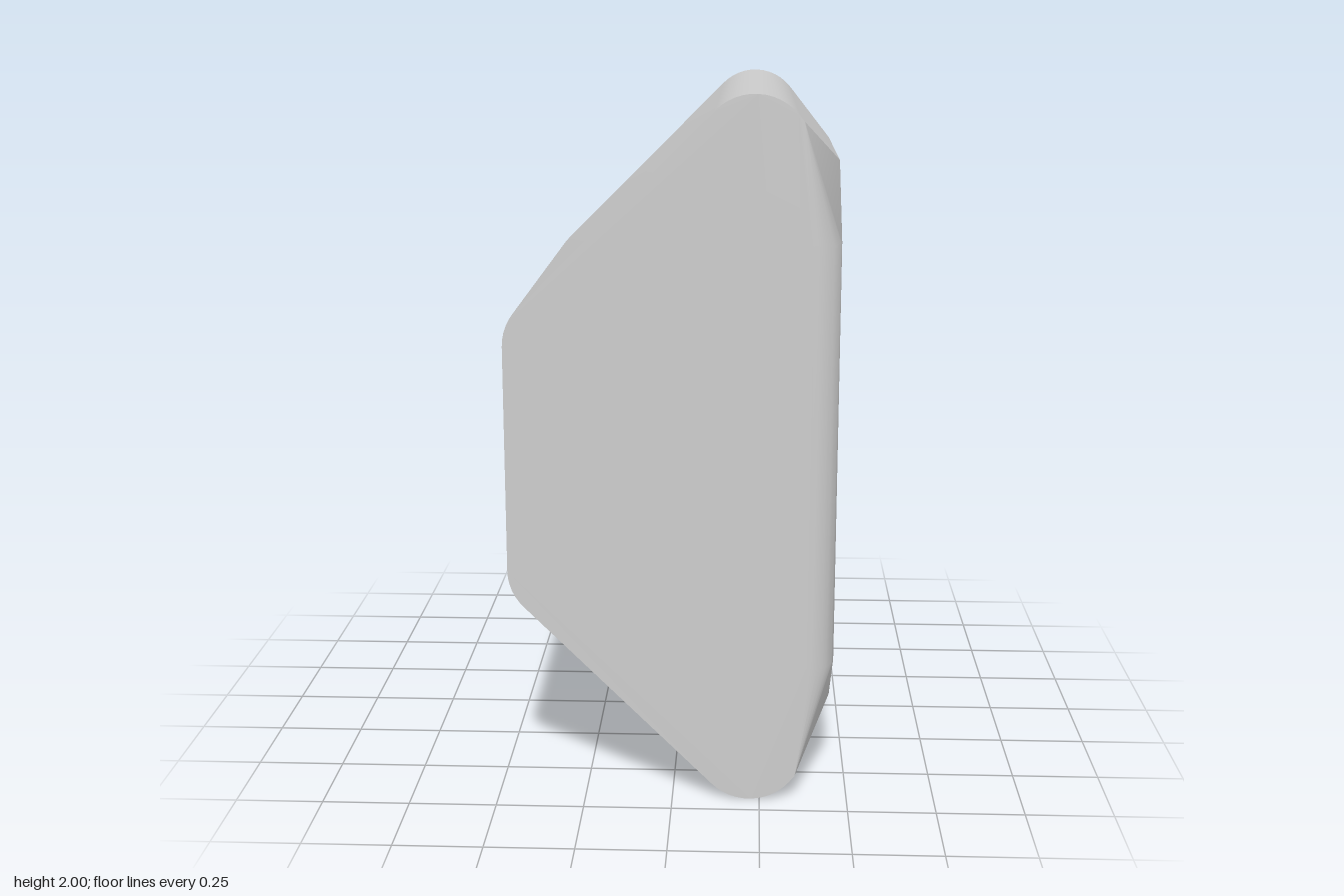
import * as THREE from 'three';
import { ConvexGeometry } from 'three/addons/geometries/ConvexGeometry.js';
import { toCreasedNormals } from 'three/addons/utils/BufferGeometryUtils.js';

const HALF_DEPTH = 0.68;
const FACE_X = 0.458; // the large flat side

export function createModel() {
  const group = new THREE.Group();
  group.name = 'taperedBlock';
  const grey = new THREE.MeshStandardMaterial({ color: 0xcccccc });
  grey.name = 'grey';

  const points = [];
  // Adds a point mirrored top to bottom and front to back
  const add = (x, y, z) => {
    for (const py of [y, 2 - y]) for (const pz of [z, -z]) points.push(new THREE.Vector3(x, py, pz));
  };
  // Rounded edge running the full depth
  const addArc = (cx, cy, r, from, to, steps) => {
    for (let i = 0; i <= steps; i++) {
      const a = THREE.MathUtils.degToRad(from + ((to - from) * i) / steps);
      add(cx + r * Math.cos(a), cy + r * Math.sin(a), HALF_DEPTH);
    }
  };

  addArc(0.22, 1.85, 0.15, 135, 40, 12); // top and bottom ridges
  addArc(-0.312, 1.32, 0.15, 180, 135, 6); // narrow side edges
  add(0.35, 1.928, HALF_DEPTH); // corner tips of the end caps

  // Flat side with clipped corners
  add(FACE_X, 1.8, 0.38);

  // Rounded upright edges beside the flat side
  const r = 0.08;
  for (let i = 0; i <= 8; i++) {
    const a = (Math.PI / 2) * (i / 8);
    add(FACE_X - r + r * Math.cos(a), 1.6, HALF_DEPTH - r + r * Math.sin(a));
  }

  const body = new THREE.Mesh(toCreasedNormals(new ConvexGeometry(points), 0.3), grey);
  body.name = 'body';
  group.add(body);
  return group;
}
